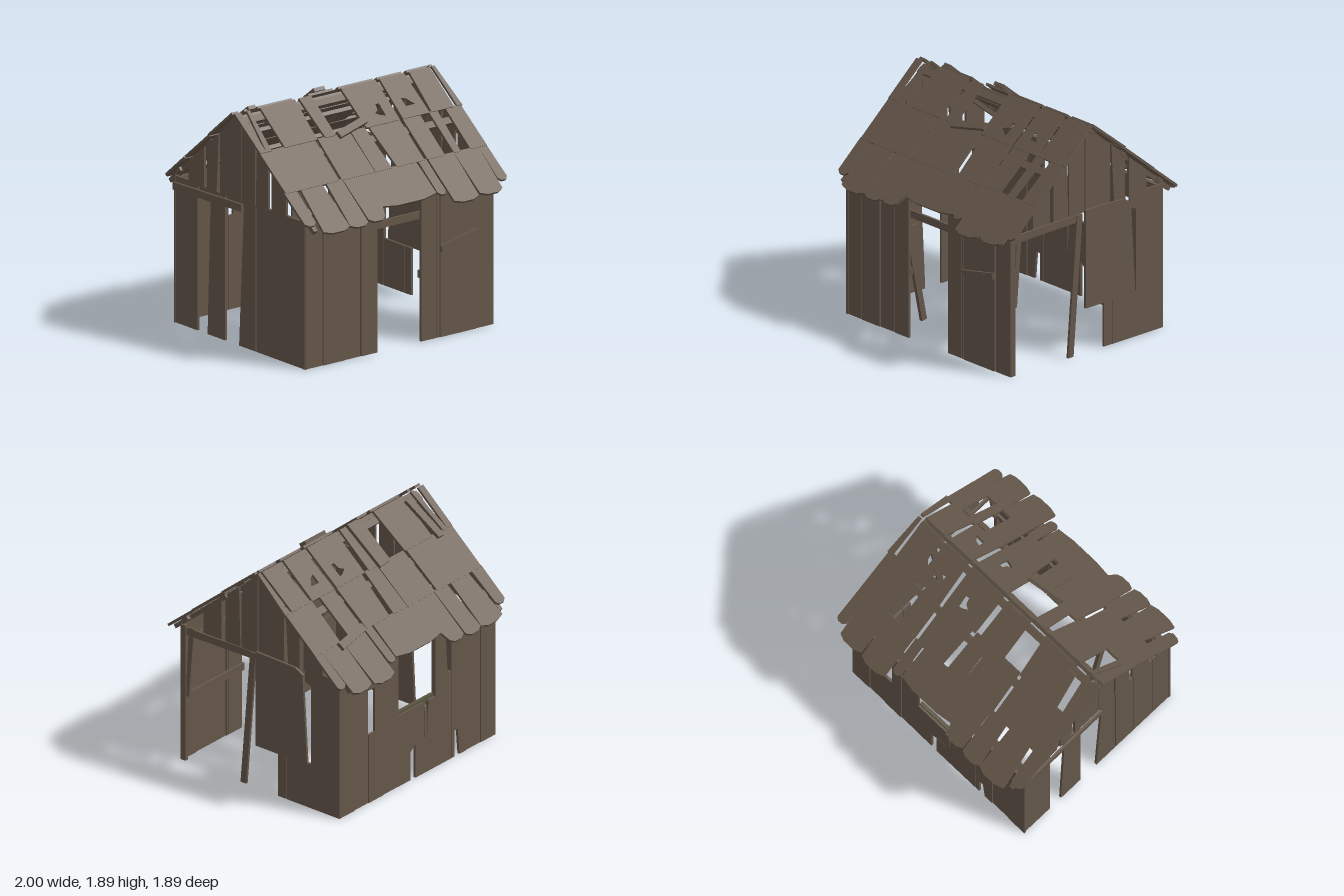
import * as THREE from 'three';

const T = 0.02; // plank thickness
const SLOPE = Math.atan(0.82);
const wood = new THREE.MeshStandardMaterial({ color: 0x65574a });
wood.name = 'weatheredWood';
const sillWood = new THREE.MeshStandardMaterial({ color: 0x59543f });
sillWood.name = 'mossyWood';

// Flat sawn piece with any outline and optional holes
function plank(parent, name, pts, { z = 0, t = T, holes = [], mat = wood } = {}) {
  const v = (l) => l.map(([x, y]) => new THREE.Vector2(x, y));
  const shape = new THREE.Shape(v(pts));
  holes.forEach((h) => shape.holes.push(new THREE.Path(v(h))));
  const geo = new THREE.ExtrudeGeometry(shape, { depth: t, bevelEnabled: false });
  const mesh = new THREE.Mesh(geo, mat);
  mesh.name = name;
  mesh.position.z = z;
  parent.add(mesh);
  return mesh;
}

// Upright plank: left, right, bottom, top
const board = (parent, name, [l, r, b, t], opt) =>
  plank(parent, name, [[l, b], [r, b], [r, t], [l, t]], opt);

// Square beam between two points
function beam(parent, name, a, b, w = 0.04, d = 0.03, mat = wood) {
  const A = new THREE.Vector3(...a), B = new THREE.Vector3(...b);
  const mesh = new THREE.Mesh(new THREE.BoxGeometry(w, A.distanceTo(B), d), mat);
  mesh.name = name;
  mesh.position.copy(A).add(B).multiplyScalar(0.5);
  mesh.quaternion.setFromUnitVectors(new THREE.Vector3(0, 1, 0), B.sub(A).normalize());
  parent.add(mesh);
  return mesh;
}

function group(parent, name) {
  const g = new THREE.Group();
  g.name = name;
  parent.add(g);
  return g;
}

function buildFront(root) {
  const g = group(root, 'frontWall');
  g.position.z = 0.775;
  [[-0.945, -0.77], [-0.762, -0.56], [-0.553, -0.4], [-0.39, -0.235],
    [0.2, 0.35], [0.385, 0.73], [0.738, 0.905]].forEach(([l, r], i) =>
    board(g, 'frontPlank', [l, r, 0, 1.15], { z: (i % 2) * 0.006 }));
  board(g, 'frontSlat', [0.355, 0.378, 0.0, 1.15]);
  board(g, 'frontBatten', [-0.43, -0.39, 0.32, 1.12], { z: -0.03 });
  plank(g, 'nailedBoard', [[0.385, 0.68], [0.73, 0.75], [0.73, 0.805], [0.375, 0.735]], { z: 0.026 });
  // inner rails
  board(g, 'doorRail', [-0.9, 0.88, 0.97, 1.03], { z: -0.025 });
  board(g, 'lowRail', [-0.9, -0.24, 0.5, 0.56], { z: -0.025 });
  board(g, 'lowRail', [0.2, 0.88, 0.5, 0.56], { z: -0.025 });
}

function buildBack(root) {
  const g = group(root, 'backWall');
  g.position.z = -0.78;
  // planks beside the window, with a slit in one of them
  board(g, 'backPlank', [0.72, 0.905, 0, 1.16]);
  board(g, 'backPlank', [0.56, 0.715, 0, 1.16], { z: 0.005 });
  plank(g, 'backPlank', [[0.38, 0], [0.555, 0], [0.555, 0.58], [0.48, 0.58],
    [0.48, 0.96], [0.555, 0.96], [0.555, 1.16], [0.38, 1.16]]);
  board(g, 'backPlank', [0.2, 0.375, 0, 1.16], { z: 0.005 });
  plank(g, 'backPlank', [[-0.42, 0], [-0.235, 0], [-0.235, 1.16], [-0.35, 1.16], [-0.38, 0.75], [-0.42, 0.75]]);
  plank(g, 'backPlank', [[-0.6, 0], [-0.52, 0], [-0.5, 0.22], [-0.46, 0.22], [-0.46, 0],
    [-0.425, 0], [-0.425, 1.16], [-0.6, 1.16]]);
  board(g, 'backPlank', [-0.77, -0.605, 0, 1.16], { z: 0.005 });
  board(g, 'backPlank', [-0.945, -0.775, 0, 1.16]);
  // broken planks under the window
  plank(g, 'brokenPlank', [[-0.235, 0], [0, 0], [0, 0.28], [-0.1, 0.3], [-0.115, 0.3],
    [-0.1, 0.56], [-0.135, 0.56], [-0.145, 0.29], [-0.15, 0.6], [-0.235, 0.6]]);
  plank(g, 'brokenPlank', [[0.055, 0], [0.2, 0], [0.2, 0.6], [-0.1, 0.6], [-0.11, 0.3], [0, 0.28], [0.055, 0.24]], { z: 0.003 });
  board(g, 'windowSill', [-0.235, 0.2, 0.56, 0.62], { z: 0.02, t: 0.03, mat: sillWood });
  board(g, 'windowHeader', [-0.9, 0.88, 1.1, 1.16], { z: 0.02 });
}

// Height of the underside of the roof at depth z
const roofY = (z) => 1.83 - 0.82 * Math.abs(z);

function buildSide(root, name, x, right) {
  const g = group(root, name);
  g.rotation.y = -Math.PI / 2; // outline runs along z
  g.position.x = x;
  // gable planks cut to the roof line
  [[0.39, 0.565, 0], [0.2, 0.35, 0.03], [0.03, 0.19, 0], [-0.23, 0.022, 0],
    [-0.385, -0.24, -0.055], [-0.61, -0.425, 0]].forEach(([l, r, lean]) => {
    const a = lean < 0 ? l : l + lean * 0.5, b = lean < 0 ? r + lean * 0.1 : r;
    const top = [[b, roofY(b)]];
    if (a < 0 && b > 0) top.push([0, roofY(0)]);
    top.push([a, roofY(a)]);
    const foot = lean < 0 ? r + lean * 0.6 : r;
    plank(g, 'gablePlank', [[l, 1.15], [foot, 1.15], ...top]);
  });
  if (right) {
    plank(g, 'sidePlank', [[-0.78, 0], [-0.5, 0], [-0.5, 1.04], [-0.44, 1.06], [-0.44, 1.17], [-0.78, 1.17]]);
    board(g, 'sidePlank', [-0.498, -0.255, 0, 0.375]);
    board(g, 'sidePlank', [-0.25, -0.17, 0, 0.375]);
    plank(g, 'hangingPanel', [[-0.475, 0.37], [0.035, 0.37], [0.035, 1.17], [-0.36, 1.16], [-0.43, 1.12], [-0.455, 0.7]], { z: -T });
    plank(g, 'leaningPost', [[0.145, 0], [0.2, 0], [0.105, 1.14], [0.05, 1.14]]);
    plank(g, 'topRail', [[0.1, 1.08], [0.77, 1.07], [0.77, 1.13], [0.1, 1.14]], { z: 0.01 });
    plank(g, 'splitSlat', [[0.72, 0.55], [0.75, 0.55], [0.72, 1.14], [0.67, 1.14]], { z: 0.01 });
    board(g, 'cornerPost', [0.745, 0.785, 0, 1.15], { t: 0.03 });
  } else {
    board(g, 'sidePlank', [-0.78, -0.5, 0, 1.17]);
    plank(g, 'sidePlank', [[-0.38, 0], [-0.17, 0], [-0.17, 1.16], [-0.34, 1.16]]);
    plank(g, 'sidePlank', [[0, 0], [0.2, 0], [0.2, 1.16], [0.06, 1.16]]);
    [[0.21, 0.4], [0.403, 0.6], [0.603, 0.8]].forEach(([l, r]) =>
      board(g, 'sidePlank', [l, r, 0, 1.17]));
    plank(g, 'topBrace', [[-0.78, 1.06], [0.05, 1.08], [0.05, 1.14], [-0.78, 1.12]], { z: T });
    board(g, 'sideRail', [0.1, 0.78, 0.5, 0.56], { z: -0.025 });
    board(g, 'sideRail', [-0.78, 0.78, 1.1, 1.16], { z: -0.025 });
  }
}

// Roof rows: [topLeft, topRight, bottomLeft, bottomRight, eave]
const rows = (front) => [
  [0, 0.3, 0.01, [[-1, -0.94, -0.99, -0.93], [-0.88, -0.85, -0.93, -0.88], [-0.75, -0.41, -0.75, -0.43],
    front ? [-0.37, -0.25, -0.35, -0.25] : [-0.25, -0.01, -0.25, 0],
    [0.04, 0.38, 0.05, 0.38], [0.42, 0.66, 0.41, 0.67], [0.71, 0.91, 0.69, 0.91], [0.93, 0.96, 0.94, 0.99]]],
  [0.29, 0.6, 0.004, [[-0.99, -0.45, -0.98, -0.455], [-0.42, -0.11, -0.43, -0.105], [-0.1, 0.04, -0.1, 0.06],
    [0.08, 0.38, 0.11, 0.38], [0.41, 0.58, 0.41, 0.58],
    ...(front ? [[0.67, 0.75, 0.67, 0.735], [0.83, 0.98, 0.83, 0.99]] : [[0.67, 0.98, 0.69, 0.99]])]],
  [0.59, 0, 0, [[-0.99, -0.87, -0.98, -0.875, 0.85], [-0.83, -0.62, -0.86, -0.605, 0.93],
    [-0.58, -0.425, -0.6, -0.425, 0.93], [-0.42, -0.105, -0.41, -0.25, 0.92], [-0.1, 0.3, -0.25, 0.31, 0.85],
    [0.32, 0.4, 0.32, 0.4, 0.85], [0.415, 0.67, 0.42, 0.66, 0.93], [0.67, 0.91, 0.68, 0.9, 0.92],
    [0.91, 0.99, 0.91, 1, 0.85]]],
];

function buildRoof(root, name, front) {
  const turn = group(root, name);
  turn.rotation.y = front ? 0 : Math.PI;
  const g = group(turn, 'roofSlope');
  g.position.y = 1.84;
  g.rotation.x = SLOPE - Math.PI / 2;
  const s = front ? 1 : -1;
  const p = ([x, z]) => [s * x, -z / Math.cos(SLOPE)];
  const roofPlank = (label, pts, opt) => plank(g, label, pts.map(p), opt);

  rows(front).forEach(([z0, z1, lift, list]) => list.forEach(([a, b, c, d, eave]) => {
    const e = eave || z1, chip = eave ? 0.02 : 0;
    const holes = [];
    // splintered holes in two upper planks
    if (z0 === 0 && a === 0.04) holes.push([[0.2, 0.22], [0.24, 0.2], [0.25, 0.16], [0.285, 0.16], [0.28, 0.25], [0.24, 0.24]].map(p));
    if (z0 === 0 && a === 0.42) holes.push([[0.5, 0.16], [0.54, 0.17], [0.59, 0.22], [0.5, 0.22]].map(p));
    roofPlank('roofPlank', [[a, z0], [c, e - chip], [c + (d - c) * 0.3, e], [d - (d - c) * 0.25, e], [d, e - chip], [b, z0]],
      { z: lift, holes });
  }));
  // purlins below the planks
  [0.05, 0.37, 0.75].forEach((z) => roofPlank('purlin',
    [[-0.94, z - 0.025], [-0.94, z + 0.02], [0.92, z + 0.02], [0.92, z - 0.025]], { z: -0.03, t: 0.03 }));
  // rafters at the gables
  [-0.9, 0.87].forEach((x) => roofPlank('rafter',
    [[x - 0.018, 0.04], [x - 0.018, 0.88], [x + 0.018, 0.88], [x + 0.018, 0.04]], { z: -0.04, t: 0.035 }));
  // loose boards lying on the slope
  const loose = front
    ? [[[-0.25, 0.29], [-0.24, 0.335], [0.07, 0.275], [0.06, 0.23]]]
    : [[[0.43, 0.56], [0.42, 0.61], [0.74, 0.65], [0.75, 0.6]],
      [[-0.83, 0.33], [-0.77, 0.33], [-0.72, 0.04], [-0.79, 0.04]],
      [[-0.18, 0], [-0.2, 0.31], [-0.09, 0.32], [-0.075, 0]]];
  loose.forEach((pts) => roofPlank('looseBoard', pts, { z: 0.035, t: 0.03 }));
}

export function createModel() {
  const root = new THREE.Group();
  root.name = 'shack';
  buildFront(root);
  buildBack(root);
  buildSide(root, 'rightSideWall', 0.905, true);
  buildSide(root, 'leftSideWall', -0.92, false);
  buildRoof(root, 'frontRoof', true);
  buildRoof(root, 'backRoof', false);
  // fallen pieces inside
  beam(root, 'leaningBrace', [-0.43, 0.01, 0.47], [-0.43, 0.93, 0.66], 0.03, 0.05);
  beam(root, 'floorScrap', [-0.88, 0.012, 0.45], [-0.88, 0.012, 0.57], 0.05, 0.02);
  return root;
}
